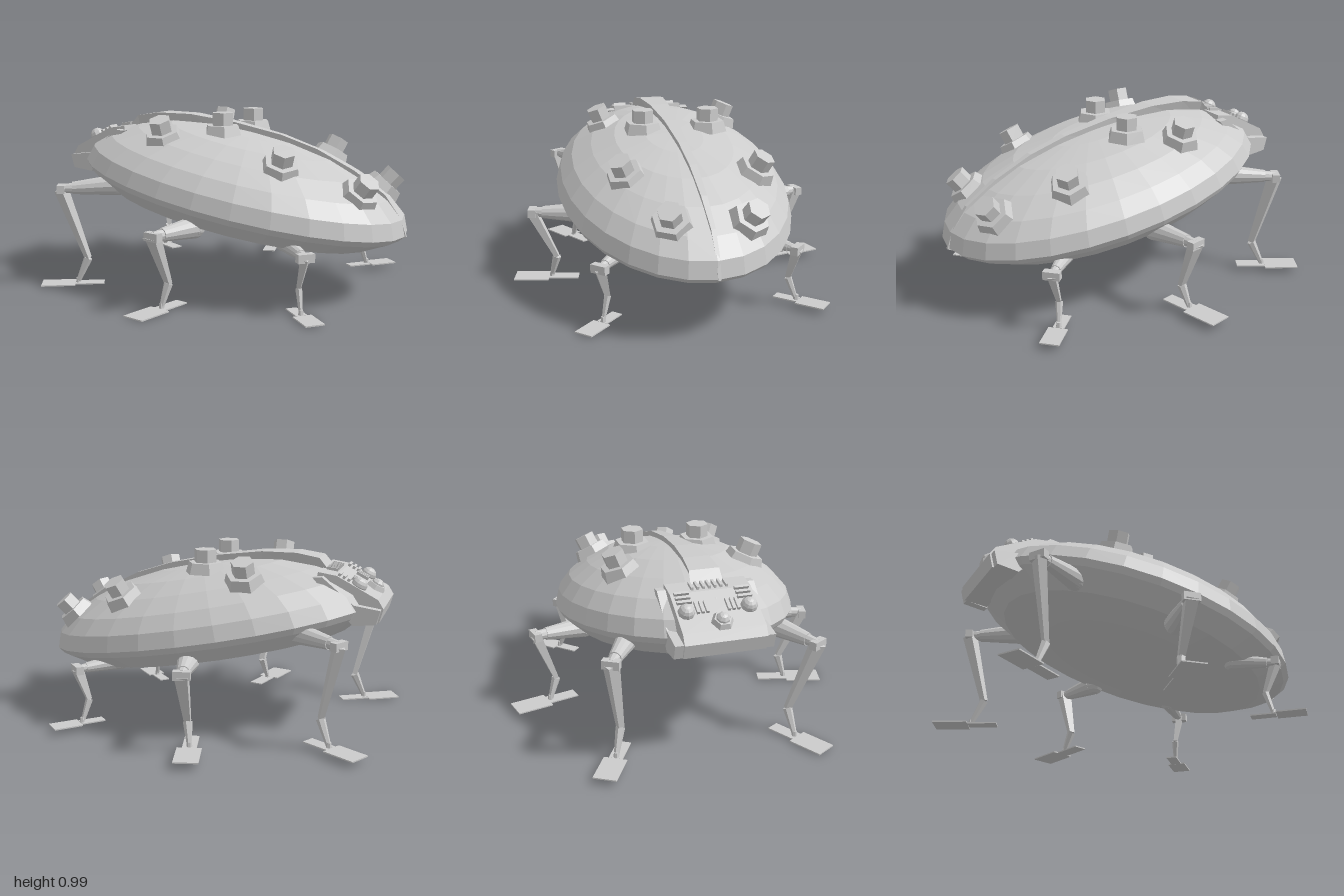
import * as THREE from 'three';

const grey = new THREE.MeshStandardMaterial({ color: 0xcccccc, flatShading: true, side: THREE.DoubleSide });
const V = (x, y, z) => new THREE.Vector3(x, y, z);
const MID = 0.03; // z of the symmetry plane
const UP = V(0, 1, 0);

function add(parent, name, geometry) {
  const mesh = new THREE.Mesh(geometry, grey);
  mesh.name = name;
  parent.add(mesh);
  return mesh;
}

// Tapered bar between two points
function bar(parent, name, a, b, rA, rB, sides, flatten = 1) {
  const dir = b.clone().sub(a);
  const geo = new THREE.CylinderGeometry(rB, rA, dir.length(), sides);
  if (sides === 4) geo.rotateY(Math.PI / 4);
  geo.scale(1, 1, flatten);
  const mesh = add(parent, name, geo);
  mesh.position.copy(a).lerp(b, 0.5);
  mesh.quaternion.setFromUnitVectors(UP, dir.normalize());
}

// Dome outline from rim to top as [radius, height]
const dome = [[1, 0], [0.965, 0.085], [0.866, 0.165], [0.7, 0.24], [0.5, 0.302], [0.25, 0.337], [0.001, 0.347]];

function domeHeight(r) {
  const i = dome.findIndex(p => p[0] <= r);
  const [r0, h0] = dome[i - 1], [r1, h1] = dome[i];
  return h0 + (h1 - h0) * (r0 - r) / (r0 - r1);
}

function buildBody() {
  const body = new THREE.Group();
  body.name = 'body';
  body.position.set(0.03, 0.55, MID);
  body.rotation.z = -0.19;

  // Oval hull: shallow belly and faceted dome
  const belly = [[0.001, -0.165], [0.55, -0.16], [0.82, -0.12], [0.97, -0.035]];
  const hull = new THREE.LatheGeometry([...belly, ...dome].map(p => new THREE.Vector2(...p)), 28);
  hull.scale(0.97, 1, 0.64);
  add(body, 'hull', hull);

  // Hexagonal studs seated on the dome
  for (const s of [-1, 1]) {
    for (const [u0, w, upright] of [[-0.36, 0.34], [-0.1, 0.185, true], [0.345, 0.345], [0.735, 0.195]]) {
      const u = u0 - 0.055 * w * s;
      const v = domeHeight(Math.hypot(u / 0.97, w / 0.64));
      const stud = new THREE.Group();
      stud.name = 'stud';
      const normal = upright ? V(-0.19, 0.98, 0) : V(u / 0.94, v / 0.125, s * w / 0.41);
      stud.position.set(u, v, s * w - (upright ? 0.035 : 0.015));
      stud.quaternion.setFromUnitVectors(UP, normal.normalize());
      const base = new THREE.CylinderGeometry(0.095, 0.113, 0.06, 6).rotateY(Math.PI / 6);
      const nut = new THREE.CylinderGeometry(0.062, 0.062, 0.08, 6).rotateY(Math.PI / 6);
      add(stud, 'studBase', base).position.y = 0.01;
      add(stud, 'studNut', nut).position.y = 0.07;
      body.add(stud);
    }
  }
  return body;
}

// Ridge along the back, wide behind the head and narrow at the tail
function buildCrest() {
  const path = [[-0.65, 0.9, 0.085], [-0.6, 0.96, 0.08], [-0.47, 0.98, 0.07], [-0.27, 0.977, 0.055],
    [0, 0.94, 0.035], [0.28, 0.88, 0.025], [0.49, 0.81, 0.02], [0.7, 0.705, 0.016], [0.87, 0.585, 0.012], [0.96, 0.46, 0.01], [0.99, 0.365, 0.008]];
  const pos = [], idx = [];
  path.forEach(([x, y, h], i) => {
    const drop = i > 8 ? 0.02 : 0.1, back = i > 6 ? 0.04 : 0;
    pos.push(x, y, h, x, y, -h, x - back, y - drop, -h * 0.6, x - back, y - drop, h * 0.6);
    if (!i) return;
    for (let k = 0; k < 4; k++) {
      const a = (i - 1) * 4 + k, b = (i - 1) * 4 + (k + 1) % 4;
      idx.push(a, b, a + 4, b, b + 4, a + 4);
    }
  });
  const e = (path.length - 1) * 4;
  idx.push(0, 2, 1, 0, 3, 2, e, e + 1, e + 2, e, e + 2, e + 3);
  const geo = new THREE.BufferGeometry();
  geo.setAttribute('position', new THREE.Float32BufferAttribute(pos, 3));
  geo.setIndex(idx);
  geo.computeVertexNormals();
  const crest = new THREE.Mesh(geo, grey);
  crest.name = 'crest';
  crest.position.z = MID - 0.005;
  return crest;
}

function sideSlab(points, depth) {
  const shape = new THREE.Shape(points.map(p => new THREE.Vector2(...p)));
  return new THREE.ExtrudeGeometry(shape, { depth, bevelEnabled: false }).translate(0, 0, -depth / 2);
}

function buildHead() {
  const head = new THREE.Group();
  head.name = 'head';
  head.position.z = MID - 0.01;
  add(head, 'headBlock', sideSlab([[-0.97, 0.73], [-0.95, 0.655], [-0.82, 0.645], [-0.6, 0.8], [-0.62, 0.908], [-0.72, 0.893], [-0.94, 0.778]], 0.42));
  for (const s of [-1, 1]) {
    const cheek = add(head, 'cheek', sideSlab([[-0.96, 0.73], [-0.94, 0.655], [-0.82, 0.64], [-0.6, 0.885], [-0.65, 0.89], [-0.82, 0.75]], 0.045));
    cheek.position.set(0, 0, s * 0.232);
  }

  // Sloping face with lamps and vent slits
  const face = new THREE.Group();
  face.name = 'facePanel';
  face.position.set(-0.83, 0.836, 0);
  face.rotation.z = 0.48;
  head.add(face);
  add(face, 'centreLampRim', new THREE.CylinderGeometry(0.045, 0.065, 0.04, 6)).position.set(-0.075, 0.005, 0);
  add(face, 'centreLamp', new THREE.SphereGeometry(0.038, 8, 6)).position.set(-0.075, 0.015, 0);
  for (const s of [-1, 1]) {
    add(face, 'sideLamp', new THREE.SphereGeometry(0.043, 10, 8)).position.set(0, 0.005, s * 0.16);
    for (let i = 0; i < 3; i++) {
      add(face, 'innerSlit', new THREE.BoxGeometry(0.07, 0.025, 0.014)).position.set(0.02, 0.003, s * (0.055 + i * 0.024));
      add(face, 'outerSlit', new THREE.BoxGeometry(0.014, 0.025, 0.075)).position.set(0.06 + i * 0.028, 0.003, s * 0.155);
    }
  }
  for (let i = 0; i < 7; i++) {
    const slit = add(head, 'browSlit', new THREE.BoxGeometry(0.06, 0.025, 0.012));
    slit.position.set(-0.675, 0.903, (i - 3) * 0.03);
    slit.rotation.z = 0.15;
  }
  return head;
}

// Leg joints as [x, y, outward distance]; toe is the heading of the foot
const legs = [
  { name: 'frontLeg', hip: [-0.55, 0.605, 0.38], knee: [-0.815, 0.59, 0.535], shin: [-0.72, 0.18, 0.455], ankle: [-0.775, 0.045, 0.485], toe: [-0.87, 0.5], size: 0.19, r: 0.06 },
  { name: 'middleLeg', hip: [-0.01, 0.435, 0.5], knee: [-0.085, 0.44, 0.785], shin: [-0.075, 0.165, 0.67], ankle: [-0.1, 0.045, 0.705], toe: [-0.24, 0.97], size: 0.2, r: 0.06 },
  { name: 'rearLeg', hip: [0.44, 0.365, 0.36], knee: [0.625, 0.34, 0.525], shin: [0.575, 0.165, 0.49], ankle: [0.6, 0.04, 0.525], toe: [0.7, 0.71], size: 0.16, r: 0.048 },
];

function buildLeg({ name, hip, knee, shin, ankle, toe, size, r }, s) {
  const leg = new THREE.Group();
  leg.name = name;
  const place = ([x, y, w]) => V(x - 0.03 * w * s, y - 0.02 * w * s, 0.05 * y + s * w);
  const [h, k, sh, an] = [hip, knee, shin, ankle].map(place);
  const heading = Math.atan2(-toe[1] * s, toe[0]);
  const mid = h.clone().lerp(k, 0.8);
  add(leg, 'hip', new THREE.SphereGeometry(r, 12, 8)).position.copy(h);
  bar(leg, 'thigh', h, mid, r, r * 0.58, 12);
  bar(leg, 'thighEnd', mid, k, r * 0.5, r * 0.42, 10);
  const joint = add(leg, 'knee', new THREE.BoxGeometry(0.042, 0.045, 0.09));
  joint.position.copy(k);
  joint.rotation.y = heading;
  bar(leg, 'shin', k, sh, r * 0.8, r * 0.4, 4, 0.75);
  bar(leg, 'ankle', sh, an, r * 0.42, r * 0.22, 6);

  // Two flat plates: a broad toe and a narrow heel
  const foot = new THREE.Group();
  foot.name = 'foot';
  foot.position.set(an.x, 0.037 - 0.025 * ankle[2] * s, an.z);
  foot.rotation.y = heading;
  add(foot, 'toePlate', new THREE.BoxGeometry(size, 0.007, size * 0.65)).position.x = size / 2 + 0.015;
  add(foot, 'heelPlate', new THREE.BoxGeometry(size * 0.85, 0.007, size * 0.38)).position.x = -size * 0.35;
  bar(foot, 'footPin', V(0, 0, 0), V(0, 0.03, 0), 0.016, 0.012, 6);
  leg.add(foot);
  return leg;
}

export function createModel() {
  const model = new THREE.Group();
  model.name = 'beetleMachine';
  model.add(buildBody(), buildCrest(), buildHead());
  for (const s of [-1, 1]) for (const spec of legs) model.add(buildLeg(spec, s));
  return model;
}
